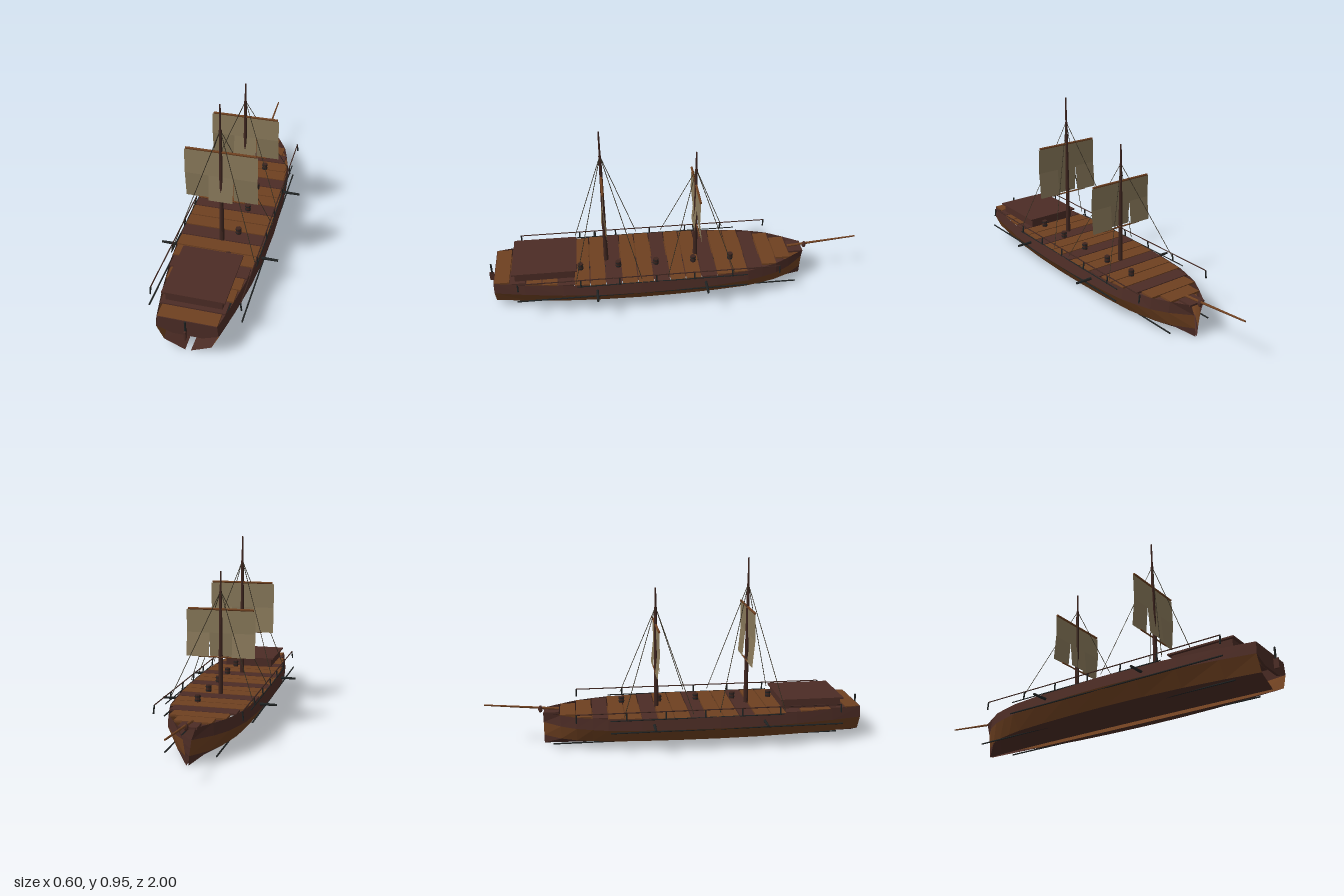
import * as THREE from 'three';

const mat = (name, color, side = THREE.FrontSide) => {
  const m = new THREE.MeshStandardMaterial({ color, side, flatShading: true });
  m.name = name;
  return m;
};

export function createModel() {
  const ship = new THREE.Group();
  ship.name = 'sailingShip';
  const brown = mat('brownWood', 0x6e4020, THREE.DoubleSide);
  const dark = mat('darkWood', 0x4c2c25, THREE.DoubleSide);
  const spar = mat('mastWood', 0x3e251f);
  const canvas = mat('sailCanvas', 0x8a7a5b, THREE.DoubleSide);
  const iron = mat('blackIron', 0x1f2222);
  const rope = mat('rope', 0x362f22);

  const add = (name, geo, material, x = 0, y = 0, z = 0, parent = ship) => {
    const mesh = new THREE.Mesh(geo, material);
    mesh.name = name;
    mesh.position.set(x, y, z);
    parent.add(mesh);
    return mesh;
  };
  const box = (name, material, w, h, d, x, y, z, parent) =>
    add(name, new THREE.BoxGeometry(w, h, d), material, x, y, z, parent);
  // Round bar between two points
  const bar = (name, material, a, b, r0, r1 = r0, sides = 6, parent = ship) => {
    const p = new THREE.Vector3(...a), q = new THREE.Vector3(...b);
    const dir = q.clone().sub(p);
    const mesh = add(name, new THREE.CylinderGeometry(r1, r0, dir.length(), sides), material, 0, 0, 0, parent);
    mesh.position.copy(p).add(q).multiplyScalar(0.5);
    mesh.quaternion.setFromUnitVectors(new THREE.Vector3(0, 1, 0), dir.normalize());
    return mesh;
  };
  // Surface between two rows of points
  const strip = (a, b) => {
    const pos = [];
    for (let i = 0; i < a.length - 1; i++) {
      pos.push(...a[i], ...b[i], ...b[i + 1], ...a[i], ...b[i + 1], ...a[i + 1]);
    }
    const g = new THREE.BufferGeometry();
    g.setAttribute('position', new THREE.Float32BufferAttribute(pos, 3));
    g.computeVertexNormals();
    return g;
  };

  // Hull: stations of [z, half width], three strakes a side, open along the keel
  const stations = [[-0.7, 0.035], [-0.61, 0.1], [-0.53, 0.147], [-0.45, 0.173], [-0.37, 0.195], [-0.2, 0.214],
    [0, 0.226], [0.2, 0.23], [0.4, 0.225], [0.6, 0.208], [0.8, 0.178], [0.96, 0.147]];
  const levels = [[0.09, 0], [0.76, 0.045], [1, 0.12], [0.955, 0.178]];
  const row = (k, s) => stations.map(([z, w], i) => {
    const x = i === 0 ? [0.005, 0.009, 0.02, 0.04][k] : w * levels[k][0];
    return [s * x, levels[k][1], z];
  });
  for (const s of [1, -1]) {
    add('bottomStrake', strip(row(0, s), row(1, s)), dark);
    add('sideStrake', strip(row(1, s), row(2, s)), brown);
    add('topStrake', strip(row(2, s), row(3, s)), dark);
  }
  const transom = new THREE.Shape([[-0.07, 0.092], [0.07, 0.092], [0.145, 0.12], [0.14, 0.178], [-0.14, 0.178],
    [-0.145, 0.12]].map(p => new THREE.Vector2(...p)));
  add('transom', new THREE.ExtrudeGeometry(transom, { depth: 0.012, bevelEnabled: false }), dark, 0, 0, 0.948);

  // Deck planks, every third one dark
  const halfWidth = z => {
    let i = 1;
    while (i < stations.length - 1 && stations[i][0] < z) i++;
    const [z0, w0] = stations[i - 1], [z1, w1] = stations[i];
    return w0 + (w1 - w0) * (z - z0) / (z1 - z0);
  };
  const pitch = 1.66 / 20;
  for (let i = 0; i < 20; i++) {
    const z = -0.7 + pitch * i;
    const w = i === 0 ? 0.045 : Math.min(halfWidth(z), halfWidth(z + pitch)) * 0.95;
    box('deckPlank', i % 3 ? brown : dark, w * 2, 0.01, pitch - 0.006, 0, 0.174, z + pitch / 2);
  }

  // Stern cabin
  box('cabin', dark, 0.27, 0.05, 0.31, 0, 0.2, 0.695);
  box('cabinRoof', dark, 0.3, 0.008, 0.335, 0, 0.228, 0.695);

  // Rudder and its post
  box('rudder', dark, 0.008, 0.048, 0.024, 0, 0.12, 0.984);
  bar('rudderPost', iron, [0, 0.14, 0.982], [0, 0.197, 0.982], 0.005);

  // Masts with yards, sails and shrouds
  const addMast = (name, z, top, sailTop, sailLow, shroudTop, feet) => {
    const g = new THREE.Group();
    g.name = name;
    ship.add(g);
    bar('mast', spar, [0, 0.17, z], [0, shroudTop, z], 0.0125, 0.007, 10, g);
    bar('topmast', spar, [0, shroudTop - 0.01, z], [0, top, z], 0.005, 0.004, 8, g);
    bar('upperYard', brown, [-0.172, sailTop, z], [0.172, sailTop, z], 0.006, 0.006, 8, g);
    bar('lowerYard', brown, [-0.115, sailLow, z - 0.006], [0.115, sailLow, z - 0.006], 0.004, 0.004, 6, g);
    // Sail: flat upper cloth, three lower cloths with the middle one swung aft
    const mid = sailLow + (sailTop - sailLow) * 0.5;
    const cloth = (x0, x1, y0, y1, z0, z1) =>
      add('sail', strip([[x0, y0, z0], [x1, y0, z0]], [[x0, y1, z1], [x1, y1, z1]]), canvas, 0, 0, 0, g);
    cloth(-0.18, 0.18, mid, sailTop - 0.006, z + 0.003, z);
    cloth(-0.18, -0.06, sailLow, mid, z - 0.01, z + 0.003);
    cloth(0.06, 0.18, sailLow, mid, z - 0.01, z + 0.003);
    cloth(-0.06, 0.06, sailLow, mid, z + 0.014, z + 0.003);
    for (const s of [1, -1]) {
      for (const f of feet) {
        bar('shroud', rope, [s * 0.21, 0.195, f], [0, shroudTop, z], 0.0018, 0.0018, 4, g);
      }
    }
  };
  addMast('mainMast', 0.372, 0.955, 0.698, 0.418, 0.82, [0.535, 0.195]);
  addMast('foreMast', -0.11, 0.81, 0.617, 0.371, 0.71, [0.06, -0.29]);

  // Bowsprit and bow ornament
  bar('bowsprit', brown, [0, 0.183, -0.62], [0, 0.218, -1], 0.007, 0.004, 8);
  add('bowOrnament', new THREE.SphereGeometry(0.012, 8, 6), dark, 0, 0.185, -0.715).scale.y = 1.6;

  // Rails, rubbing bars and side guns, mirrored
  for (const s of [1, -1]) {
    bar('rail', spar, [s * 0.213, 0.217, -0.53], [s * 0.213, 0.217, 0.83], 0.003);
    for (const z of [-0.53, -0.28, -0.08, 0.12, 0.31, 0.51, 0.83]) {
      bar('railPost', iron, [s * 0.217, 0.175, z], [s * 0.212, 0.218, z], 0.004);
    }
    bar('upperRubbingBar', iron, [s * 0.215, 0.177, -0.36], [s * 0.215, 0.177, 0.53], 0.003);
    bar('middleRubbingBar', iron, [s * 0.222, 0.115, -0.36], [s * 0.222, 0.115, 0.84], 0.004);
    bar('lowerRubbingBar', iron, [s * 0.122, 0.036, -0.65], [s * 0.122, 0.036, 0.84], 0.004);
    for (const z of [-0.14, 0.427]) {
      bar('sideGun', iron, [s * 0.18, 0.146, z], [s * 0.3, 0.146, z], 0.008, 0.006, 8);
    }
  }

  // Deck barrels
  for (let i = 0; i < 5; i++) {
    const z = -0.29 + 0.2 * i;
    add('barrel', new THREE.CylinderGeometry(0.014, 0.014, 0.035, 10), spar, 0.07, 0.197, z);
    for (const y of [0.188, 0.206]) {
      add('barrelHoop', new THREE.CylinderGeometry(0.0155, 0.0155, 0.005, 10), iron, 0.07, y, z);
    }
  }
  return ship;
}
